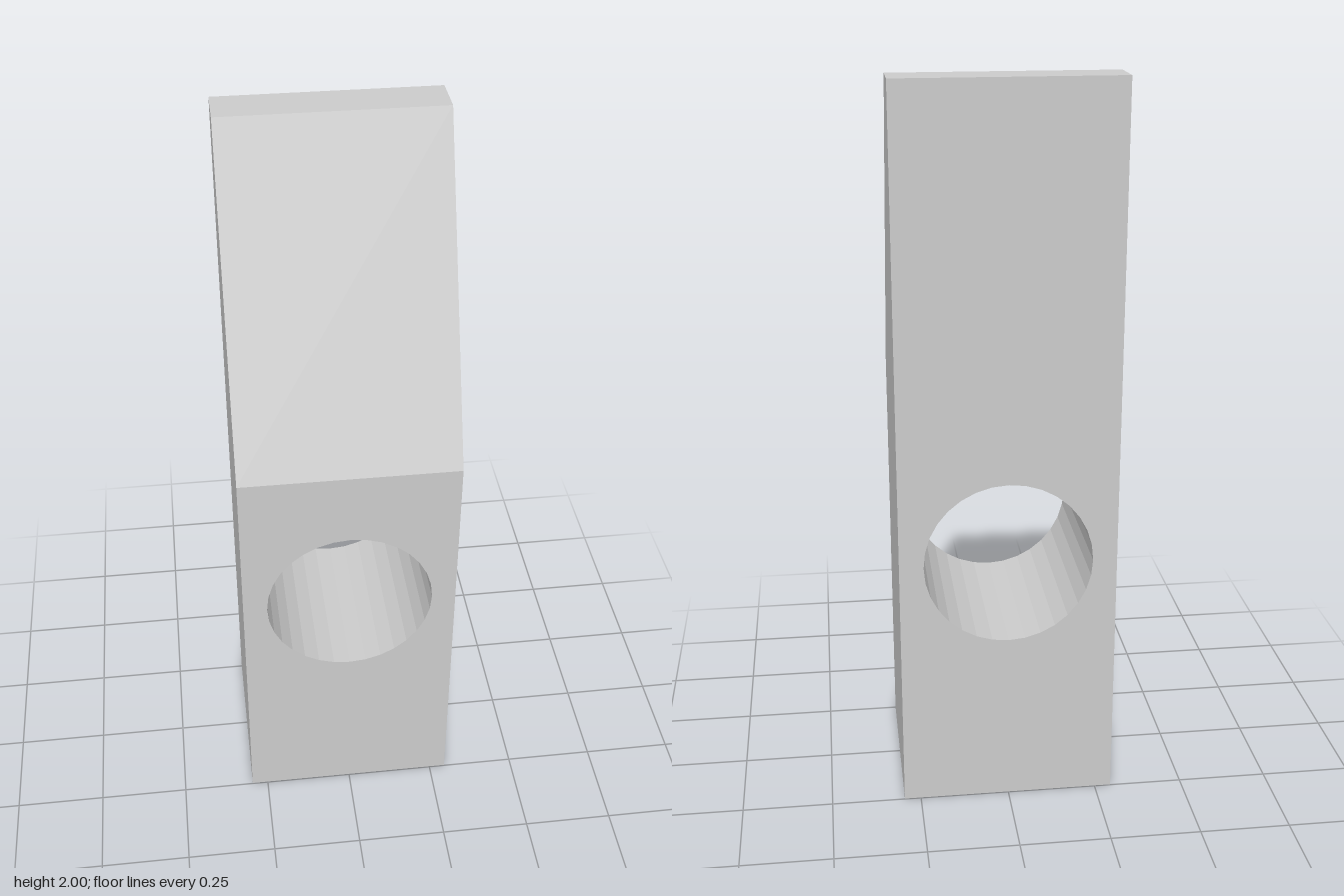
import * as THREE from 'three';
import { mergeGeometries } from 'three/addons/utils/BufferGeometryUtils.js';

const HALF_W = 0.296, HALF_D = 0.248; // half width and half depth
const JOINT = 1.155, TOP = 2;         // heights of the bevel start and the top
const TIP_Z = -0.127;                 // front edge of the narrow top

const polygon = (points) => new THREE.Shape(points.map(([x, y]) => new THREE.Vector2(x, y)));

function extrude(shape, depth) {
  const options = { depth, bevelEnabled: false, curveSegments: 16 };
  return new THREE.ExtrudeGeometry(shape, options).translate(0, 0, -depth / 2);
}

// Drops the triangles lying in the joint plane, so the solid stays hollow inside
function openAtJoint(geometry) {
  const p = geometry.getAttribute('position');
  const kept = [];
  for (let i = 0; i < p.count; i += 3) {
    const inPlane = [0, 1, 2].every((k) => Math.abs(p.getY(i + k) - JOINT) < 1e-4);
    if (inPlane) continue;
    for (let k = 0; k < 3; k++) kept.push(p.getX(i + k), p.getY(i + k), p.getZ(i + k));
  }
  const open = new THREE.BufferGeometry();
  open.setAttribute('position', new THREE.Float32BufferAttribute(kept, 3));
  return open;
}

export function createModel() {
  // Lower block with the round through-hole
  const block = polygon([[-HALF_W, 0], [HALF_W, 0], [HALF_W, JOINT], [-HALF_W, JOINT]]);
  block.holes.push(new THREE.Path().absarc(0, 0.718, 0.23, 0, Math.PI * 2, true));
  const lower = extrude(block, HALF_D * 2);

  // Upper wedge: side profile swept across the width
  const profile = polygon([[-HALF_D, JOINT], [HALF_D, JOINT], [TIP_Z, TOP], [-HALF_D, TOP]]);
  const upper = extrude(profile, HALF_W * 2).rotateY(-Math.PI / 2);

  const geometry = mergeGeometries([lower, upper].map(openAtJoint));
  geometry.computeVertexNormals();

  const head = new THREE.Mesh(
    geometry,
    new THREE.MeshStandardMaterial({ color: 0xcccccc, flatShading: true })
  );
  head.name = 'hammerHead';

  const model = new THREE.Group();
  model.name = 'wedgeBlock';
  model.add(head);
  return model;
}
